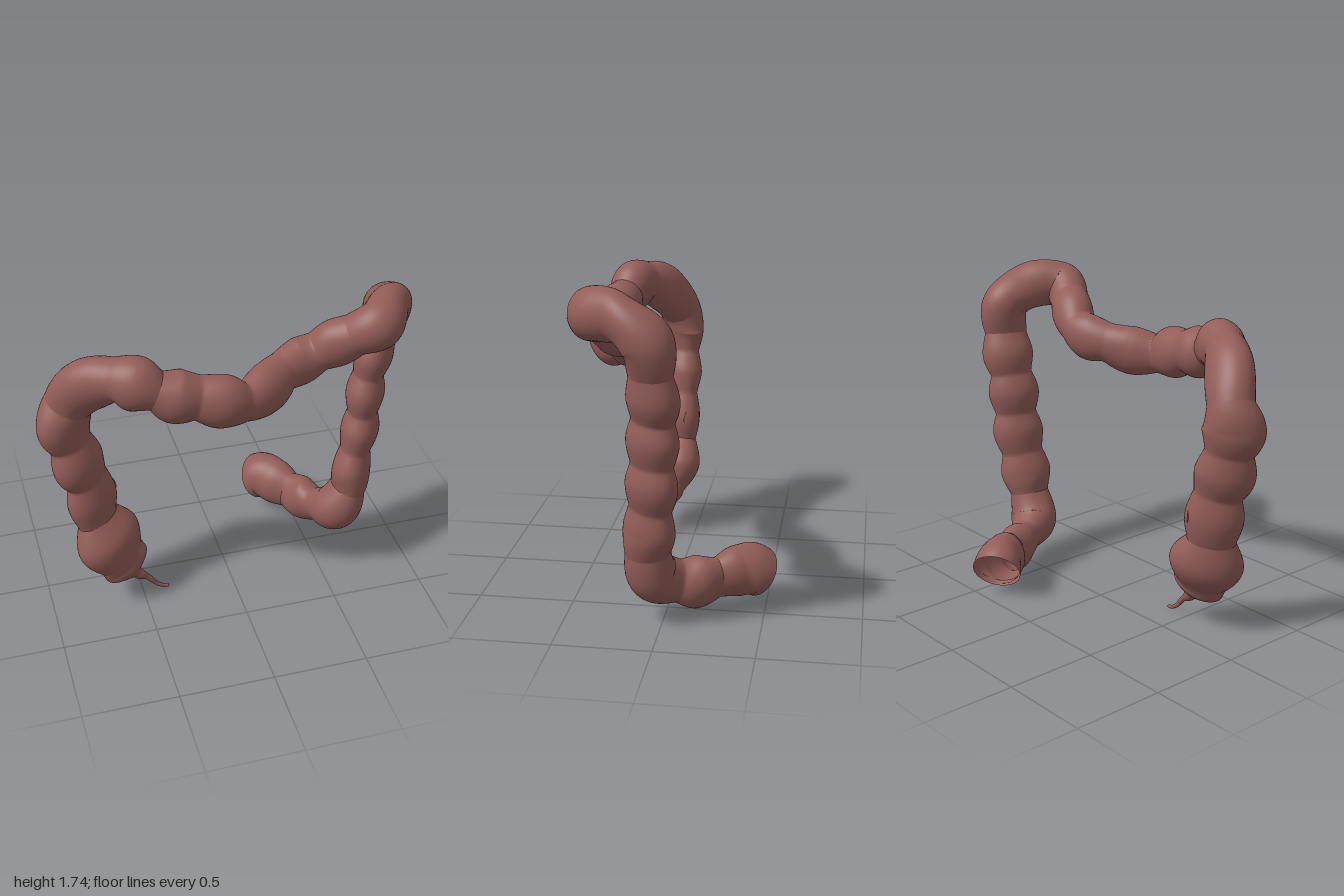
import * as THREE from 'three';

const SIDES = 40, STEPS = 10;

// Stations along the centreline: [x, y, z, half-width in the front plane, half-width in depth, isNeck]
// skew leans the oval cross-section diagonally
const sections = {
  caecum: { skew: 0.35, stations: [
    [-0.545, 0.15, 0.18, 0.035, 0.035, 1],
    [-0.587, 0.225, 0.175, 0.135, 0.1, 0],
    [-0.61, 0.268, 0.17, 0.13, 0.115, 1],
    [-0.67, 0.39, 0.145, 0.177, 0.16, 0],
  ] },
  ascendingColon: { skew: 0.35, stations: [
    [-0.72, 0.535, 0.125, 0.112, 0.108, 1],
    [-0.74, 0.66, 0.12, 0.137, 0.125, 0],
    [-0.762, 0.795, 0.12, 0.11, 0.105, 1],
    [-0.8, 0.91, 0.125, 0.137, 0.133, 0],
    [-0.83, 1.035, 0.12, 0.11, 0.105, 1],
    [-0.855, 1.16, 0.12, 0.145, 0.13, 0],
  ] },
  rightFlexure: { skew: 0, stations: [
    [-0.825, 1.28, 0.125, 0.125, 0.115, 1],
    [-0.735, 1.415, 0.2, 0.145, 0.115, 0],
    [-0.615, 1.485, 0.295, 0.11, 0.105, 1],
    [-0.53, 1.478, 0.345, 0.14, 0.122, 0],
  ] },
  transverseColon: { skew: 0, stations: [
    [-0.435, 1.44, 0.375, 0.1, 0.1, 1],
    [-0.34, 1.4, 0.39, 0.138, 0.122, 0],
    [-0.235, 1.38, 0.4, 0.115, 0.1, 1],
    [-0.12, 1.35, 0.42, 0.14, 0.112, 0],
    [0, 1.32, 0.41, 0.105, 0.085, 1],
    [0.13, 1.325, 0.335, 0.135, 0.105, 0],
    [0.24, 1.36, 0.26, 0.11, 0.09, 1],
    [0.35, 1.38, 0.215, 0.13, 0.1, 0],
    [0.44, 1.42, 0.215, 0.105, 0.1, 1],
    [0.53, 1.48, 0.25, 0.13, 0.11, 0],
  ] },
  leftFlexure: { skew: 0, stations: [
    [0.605, 1.535, 0.29, 0.11, 0.105, 1],
    [0.715, 1.595, 0.325, 0.13, 0.115, 0],
    [0.815, 1.6, 0.18, 0.132, 0.105, 0],
    [0.872, 1.5, 0.035, 0.122, 0.13, 0],
  ] },
  descendingColon: { skew: -0.28, stations: [
    [0.855, 1.34, 0.022, 0.092, 0.112, 1],
    [0.83, 1.22, 0.015, 0.116, 0.135, 0],
    [0.808, 1.11, 0.02, 0.09, 0.11, 1],
    [0.795, 1, 0.025, 0.116, 0.135, 0],
    [0.785, 0.88, 0.03, 0.09, 0.11, 1],
    [0.775, 0.77, 0.035, 0.116, 0.135, 0],
    [0.752, 0.645, 0.045, 0.092, 0.11, 1],
    [0.733, 0.52, 0.055, 0.116, 0.135, 0],
  ] },
  sigmoidColon: { skew: 0, stations: [
    [0.715, 0.4, 0.065, 0.095, 0.115, 1],
    [0.655, 0.25, 0.045, 0.135, 0.13, 0],
    [0.585, 0.195, -0.065, 0.11, 0.085, 1],
    [0.54, 0.175, -0.16, 0.137, 0.1, 0],
  ] },
  rectum: { skew: 0, stations: [
    [0.48, 0.18, -0.255, 0.112, 0.078, 1],
    [0.415, 0.193, -0.35, 0.138, 0.112, 0],
    [0.375, 0.192, -0.42, 0.137, 0.128, 0],
    [0.345, 0.165, -0.458, 0.13, 0.133, 0],
  ] },
};

// Rounded rise from a neck to a bulge; gentle blend otherwise
function ease(t, neckA, neckB) {
  const smooth = t * t * (3 - 2 * t);
  if (neckA && !neckB) return 0.75 * Math.sin(t * Math.PI / 2) + 0.25 * smooth;
  if (neckB && !neckA) return 0.75 * (1 - Math.cos(t * Math.PI / 2)) + 0.25 * smooth;
  return smooth;
}

// Sweeps an oval ring along the curve between two stations
function sweep(curve, nodes, from, to) {
  const pos = [], index = [], rings = (to - from) * STEPS;
  for (let k = 0; k <= rings; k++) {
    const i = Math.min(from + Math.floor(k / STEPS), to - 1);
    const f = k / STEPS - (i - from);
    const u = Math.min((i + f) / (nodes.length - 1), 1);
    const p = curve.getPoint(u), T = curve.getTangent(u);
    const B = new THREE.Vector3(0, 0, 1).addScaledVector(T, -T.z).normalize();
    const N = new THREE.Vector3().crossVectors(B, T);
    const A = nodes[i], Z = nodes[i + 1], e = ease(f, A[5], Z[5]);
    const a = A[3] + (Z[3] - A[3]) * e, b = A[4] + (Z[4] - A[4]) * e;
    const skew = A[6] + (Z[6] - A[6]) * f;
    for (let j = 0; j < SIDES; j++) {
      const ang = j / SIDES * Math.PI * 2;
      const v = p.clone()
        .addScaledVector(N, a * Math.cos(ang))
        .addScaledVector(B, b * Math.sin(ang + skew));
      pos.push(v.x, v.y, v.z);
      if (k < rings) {
        const q = k * SIDES + j, r = k * SIDES + (j + 1) % SIDES;
        index.push(q, r, q + SIDES, r, r + SIDES, q + SIDES);
      }
    }
  }
  const geo = new THREE.BufferGeometry();
  geo.setAttribute('position', new THREE.Float32BufferAttribute(pos, 3));
  geo.setIndex(index);
  geo.computeVertexNormals();
  return geo;
}

const curveOf = nodes => new THREE.CatmullRomCurve3(nodes.map(n => new THREE.Vector3(n[0], n[1], n[2])));

// Round tube from [x, y, z, radius] points
function taperedTube(points) {
  const nodes = points.map(([x, y, z, r]) => [x, y, z, r, r, 0, 0]);
  return sweep(curveOf(nodes), nodes, 0, nodes.length - 1);
}

export function createModel() {
  const model = new THREE.Group();
  model.name = 'largeIntestine';
  const tissue = new THREE.MeshStandardMaterial({ color: 0x935d58, side: THREE.DoubleSide });
  tissue.name = 'tissue';

  const add = (name, geo) => {
    const mesh = new THREE.Mesh(geo, tissue);
    mesh.name = name;
    model.add(mesh);
  };

  // Main pouched tube, one mesh per section, open at the rectum
  const nodes = Object.values(sections).flatMap(s => s.stations.map(n => [...n, s.skew]));
  const curve = curveOf(nodes);
  let start = 0;
  for (const [name, { stations }] of Object.entries(sections)) {
    const end = Math.min(start + stations.length, nodes.length - 1);
    add(name, sweep(curve, nodes, start, end));
    start = end;
  }

  // Thin curling appendix below the caecum, closed at its tip
  add('appendix', taperedTube([
    [-0.565, 0.19, 0.18, 0.055],
    [-0.525, 0.14, 0.18, 0.032],
    [-0.47, 0.095, 0.18, 0.016],
    [-0.425, 0.042, 0.18, 0.012],
    [-0.385, 0.016, 0.18, 0.01],
    [-0.36, 0.012, 0.18, 0.009],
    [-0.353, 0.012, 0.18, 0.0005],
  ]));

  // Short open stub where the small intestine joins
  add('smallIntestineStub', taperedTube([
    [-0.7, 0.675, 0.09, 0.08],
    [-0.665, 0.675, 0.058, 0.068],
    [-0.638, 0.675, 0.033, 0.056],
  ]));

  return model;
}
